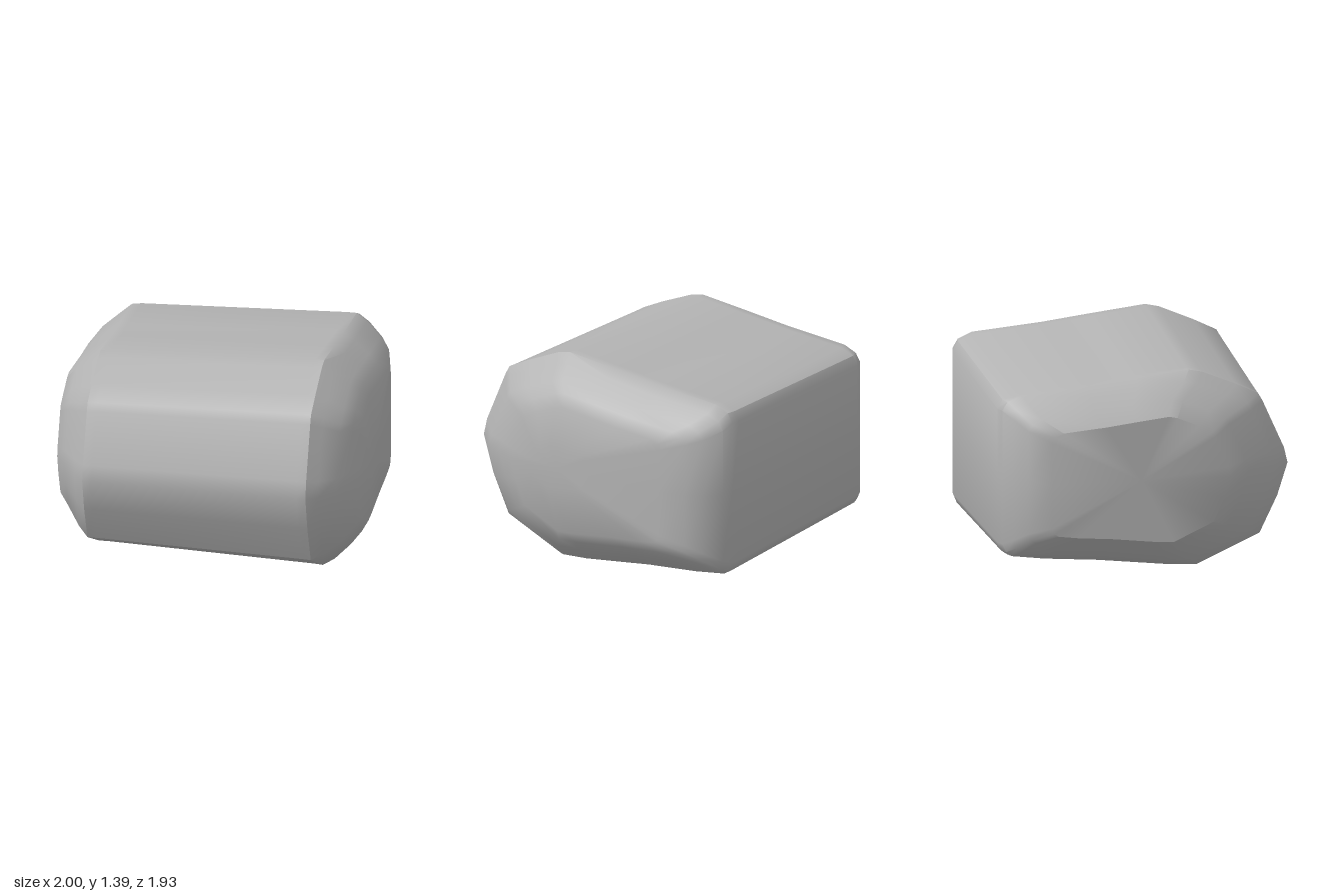
import * as THREE from 'three';
import { toCreasedNormals } from 'three/addons/utils/BufferGeometryUtils.js';

// Side outline of the boulder as [z, y], from the nose over the top and round the back
const PROFILE = [
  [0.97, 0.69], [0.945, 0.8], [0.8, 1.14], [0.77, 1.195], [0.62, 1.27], [0.39, 1.37],
  [0.3, 1.39], [-0.05, 1.35], [-0.38, 1.31], [-0.84, 1.27], [-0.93, 1.23], [-0.965, 1.17],
  [-0.965, 0.7], [-0.965, 0.22], [-0.94, 0.16], [-0.9, 0.13], [-0.68, 0.1], [-0.32, 0.07],
  [0.17, 0.01], [0.35, 0], [0.78, 0.2], [0.9, 0.46],
];

// Cross-sections from one end to the other: [x, back z, front z, bottom y, top y]
const SECTIONS = [
  [-1, -0.67, 0.5, 0.27, 1.1],
  [-0.93, -0.81, 0.63, 0.2, 1.19],
  [-0.83, -0.89, 0.82, 0.105, 1.28],
  [-0.76, -0.945, 0.92, 0.05, 1.34],
  [-0.7, -0.965, 0.922, 0.048, 1.342],
  [0.64, -0.965, 0.967, 0.003, 1.387],
  [0.7, -0.955, 0.97, 0, 1.39],
  [0.77, -0.93, 0.91, 0.035, 1.34],
  [0.87, -0.84, 0.82, 0.13, 1.255],
  [0.93, -0.74, 0.69, 0.2, 1.2],
  [0.97, -0.57, 0.58, 0.27, 1.12],
  [1, 0, 0.4, 0.57, 0.85],
];

function loftBoulder() {
  const n = PROFILE.length;
  const last = SECTIONS.length - 1;
  const points = [];
  const faces = [];

  for (const [x, back, front, bottom, top] of SECTIONS) {
    for (const [z, y] of PROFILE) {
      points.push(
        x,
        THREE.MathUtils.mapLinear(y, 0, 1.39, bottom, top),
        THREE.MathUtils.mapLinear(z, -0.965, 0.97, back, front),
      );
    }
  }

  // Skin between neighbouring sections
  for (let i = 0; i < last; i++) {
    for (let j = 0; j < n; j++) {
      const k = (j + 1) % n;
      const a = i * n + j, b = (i + 1) * n + j, c = (i + 1) * n + k, d = i * n + k;
      faces.push(a, b, c, a, c, d);
    }
  }

  // Flat end caps
  for (const s of [0, last]) {
    const [x, back, front, bottom, top] = SECTIONS[s];
    const centre = points.length / 3;
    points.push(x, (bottom + top) / 2, (back + front) / 2);
    for (let j = 0; j < n; j++) {
      const a = s * n + j, b = s * n + (j + 1) % n;
      if (s === 0) faces.push(centre, a, b);
      else faces.push(centre, b, a);
    }
  }

  const geometry = new THREE.BufferGeometry();
  geometry.setAttribute('position', new THREE.Float32BufferAttribute(points, 3));
  geometry.setIndex(faces);
  return toCreasedNormals(geometry, 0.62);
}

export function createModel() {
  const stone = new THREE.MeshStandardMaterial({ color: 0xb4b4b4 });
  stone.name = 'stone grey';

  const boulder = new THREE.Mesh(loftBoulder(), stone);
  boulder.name = 'boulder';

  const group = new THREE.Group();
  group.name = 'rock';
  group.add(boulder);
  return group;
}
